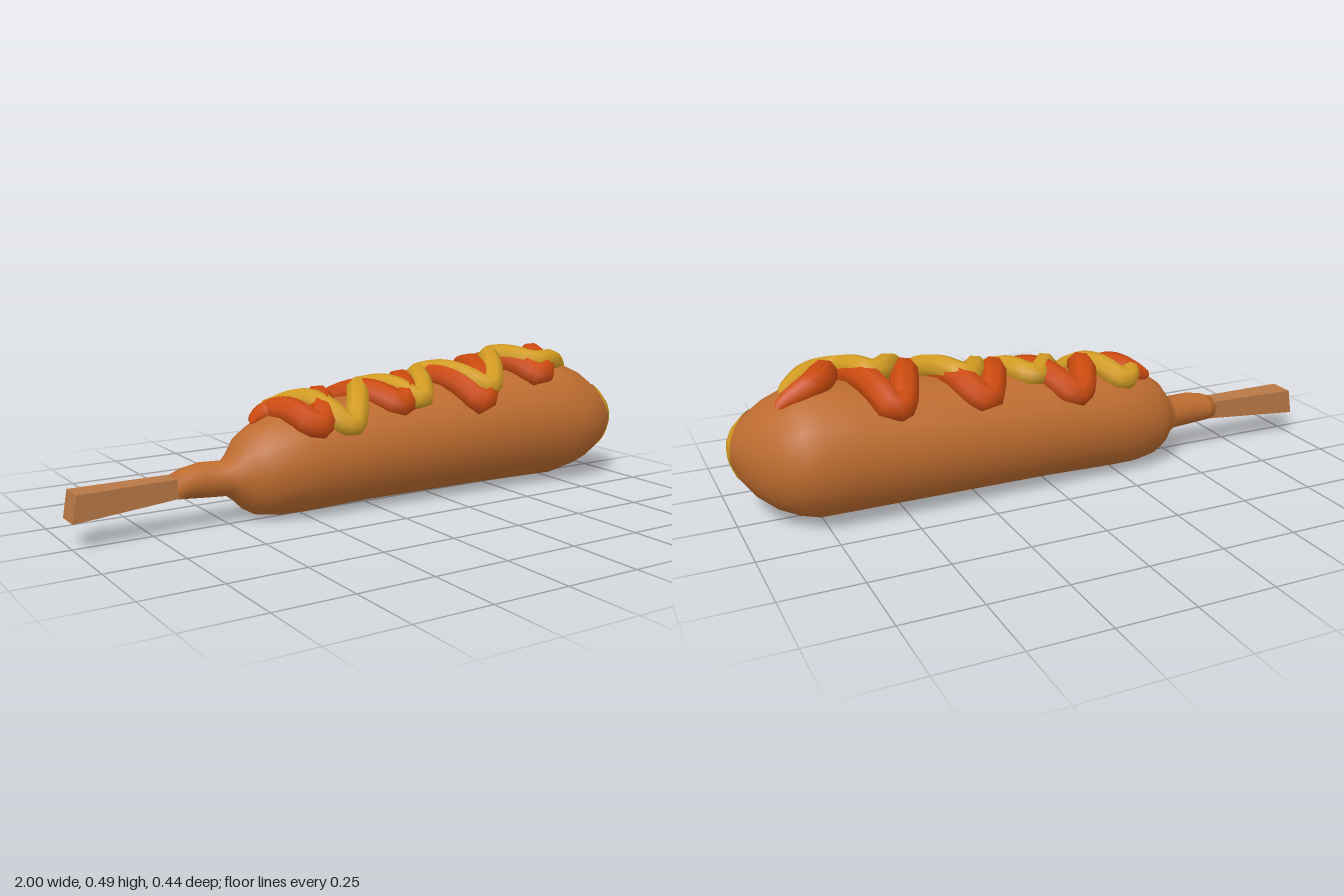
import * as THREE from 'three';

const mat = (name, color, side = THREE.FrontSide) => {
  const m = new THREE.MeshStandardMaterial({ color, side });
  m.name = name;
  return m;
};

// Batter cross-sections: x, yMin, yMax, zMin, zMax
const SECTIONS = [
  [-0.675, 0.14, 0.142, -0.026, -0.024],
  [-0.67, 0.1, 0.18, -0.07, 0.02],
  [-0.64, 0.098, 0.192, -0.08, 0.03],
  [-0.58, 0.092, 0.204, -0.075, 0.025],
  [-0.5, 0.088, 0.2, -0.085, 0.04],
  [-0.475, 0.07, 0.225, -0.1, 0.05],
  [-0.44, 0.035, 0.272, -0.135, 0.08],
  [-0.4, 0.012, 0.3, -0.155, 0.105],
  [-0.33, 0.002, 0.33, -0.18, 0.13],
  [-0.25, 0.002, 0.345, -0.192, 0.145],
  [0, 0.008, 0.365, -0.197, 0.155],
  [0.4, 0.008, 0.395, -0.21, 0.18],
  [0.65, 0.006, 0.418, -0.218, 0.204],
  [0.76, 0.005, 0.426, -0.22, 0.216],
  [0.82, 0.02, 0.41, -0.207, 0.214],
  [0.88, 0.045, 0.38, -0.165, 0.2],
  [0.935, 0.085, 0.335, -0.095, 0.175],
  [0.97, 0.13, 0.295, -0.02, 0.145],
  [0.99, 0.18, 0.255, 0.035, 0.105],
  [0.995, 0.219, 0.221, 0.069, 0.071],
];

// Centre and radii of the batter at any x
function sectionAt(x) {
  let i = 0;
  while (i < SECTIONS.length - 2 && SECTIONS[i + 1][0] < x) i++;
  const a = SECTIONS[i], b = SECTIONS[i + 1];
  const t = THREE.MathUtils.clamp((x - a[0]) / (b[0] - a[0]), 0, 1);
  const [y0, y1, z0, z1] = [1, 2, 3, 4].map(k => a[k] + (b[k] - a[k]) * t);
  return { cy: (y0 + y1) / 2, ry: (y1 - y0) / 2, cz: (z0 + z1) / 2, rz: (z1 - z0) / 2 };
}

function batterGeometry(sides = 20) {
  const pos = [], index = [];
  SECTIONS.forEach(([x], i) => {
    const s = sectionAt(x);
    for (let j = 0; j < sides; j++) {
      const a = (j / sides) * Math.PI * 2;
      pos.push(x, s.cy + s.ry * Math.cos(a), s.cz + s.rz * Math.sin(a));
      if (i === SECTIONS.length - 1) continue;
      const p = i * sides + j, q = i * sides + (j + 1) % sides;
      index.push(p, q, p + sides, q, q + sides, p + sides);
    }
  });
  const g = new THREE.BufferGeometry();
  g.setAttribute('position', new THREE.Float32BufferAttribute(pos, 3));
  g.setIndex(index);
  g.computeVertexNormals();
  return g;
}

// Zigzag of sauce: (x, z) points laid on the batter, swept as a tube with tapered ends
function sauceGeometry(points, radius, lift) {
  const plan = new THREE.CatmullRomCurve3(points.map(([x, z]) => new THREE.Vector3(x, 0, z)), false, 'centripetal');
  const path = new THREE.CatmullRomCurve3(plan.getSpacedPoints(60).map(({ x, z }) => {
    const s = sectionAt(x);
    const a = Math.asin(THREE.MathUtils.clamp((z - s.cz) / s.rz, -0.95, 0.95));
    const d = lift(x);
    return new THREE.Vector3(x, s.cy + (s.ry + d) * Math.cos(a), s.cz + (s.rz + d) * Math.sin(a));
  }));
  const n = 120, sides = 8;
  const g = new THREE.TubeGeometry(path, n, radius, sides);
  const p = g.attributes.position, v = new THREE.Vector3();
  for (let i = 0; i <= n; i++) {
    const c = path.getPointAt(i / n);
    const end = Math.min(i, n - i) / 9;
    const k = end < 1 ? Math.sqrt(1 - (1 - end) ** 2) : 1;
    for (let j = 0; j <= sides; j++) {
      const id = i * (sides + 1) + j;
      v.fromBufferAttribute(p, id).sub(c).multiplyScalar(k).add(c);
      p.setXYZ(id, v.x, v.y, v.z);
    }
  }
  return g;
}

// Thin dab projected on to the rounded tip
function dabGeometry(body, cy, cz, ry, rz) {
  const g = new THREE.RingGeometry(0.001, 1, 32, 8);
  const p = g.attributes.position, ray = new THREE.Raycaster();
  for (let i = 0; i < p.count; i++) {
    const y = cy + p.getY(i) * ry, z = cz - p.getX(i) * rz;
    ray.set(new THREE.Vector3(2, y, z), new THREE.Vector3(-1, 0, 0));
    const hit = ray.intersectObject(body)[0];
    p.setXYZ(i, (hit ? hit.point.x : 0.93) + 0.005, y, z);
  }
  g.computeVertexNormals();
  return g;
}

export function createModel() {
  const group = new THREE.Group();
  const batter = mat('batter brown', 0xbd6c2f);
  const wood = mat('stick wood', 0xb87846);
  const mustard = mat('mustard yellow', 0xd39c22, THREE.DoubleSide);
  const ketchup = mat('ketchup orange', 0xcb4a0e);
  const add = (name, geometry, material) => {
    const mesh = new THREE.Mesh(geometry, material);
    mesh.name = name;
    group.add(mesh);
    return mesh;
  };

  const body = add('batter', batterGeometry(), batter);
  body.updateMatrixWorld();

  // Stick: a box widening towards its free end
  const stick = new THREE.BoxGeometry(1, 1, 1).toNonIndexed();
  const p = stick.attributes.position;
  for (let i = 0; i < p.count; i++) {
    const top = p.getY(i) > 0, near = p.getZ(i) > 0;
    if (p.getX(i) < 0) p.setXYZ(i, top ? -0.985 : -1, top ? 0.167 : 0.082, near ? 0.018 : -0.07);
    else p.setXYZ(i, -0.62, top ? 0.17 : 0.112, near ? 0.008 : -0.06);
  }
  stick.computeVertexNormals();
  add('stick', stick, wood);

  // Sauces
  add('ketchup', sauceGeometry([
    [-0.4, -0.04], [-0.33, -0.06], [-0.23, 0.1], [-0.08, -0.14], [0.09, 0.09],
    [0.24, -0.14], [0.38, 0.14], [0.53, -0.155], [0.65, 0.12], [0.74, -0.03], [0.87, -0.045],
  ], 0.047, x => 0.004 + 0.012 * THREE.MathUtils.smoothstep(x, 0.1, 0.5) - 0.02 * THREE.MathUtils.smoothstep(x, 0.7, 0.85)), ketchup);
  add('mustard', sauceGeometry([
    [-0.35, -0.03], [-0.26, -0.11], [-0.13, 0.115], [0.045, -0.07], [0.15, 0.095],
    [0.27, -0.06], [0.41, 0.115], [0.56, -0.03], [0.65, 0.08], [0.84, 0.03],
  ], 0.039, x => 0.014 + 0.024 * THREE.MathUtils.smoothstep(x, 0.1, 0.5) - 0.04 * THREE.MathUtils.smoothstep(x, 0.66, 0.82)), mustard);
  add('mustardDab', dabGeometry(body, 0.22, 0.107, 0.112, 0.065), mustard);

  return group;
}
